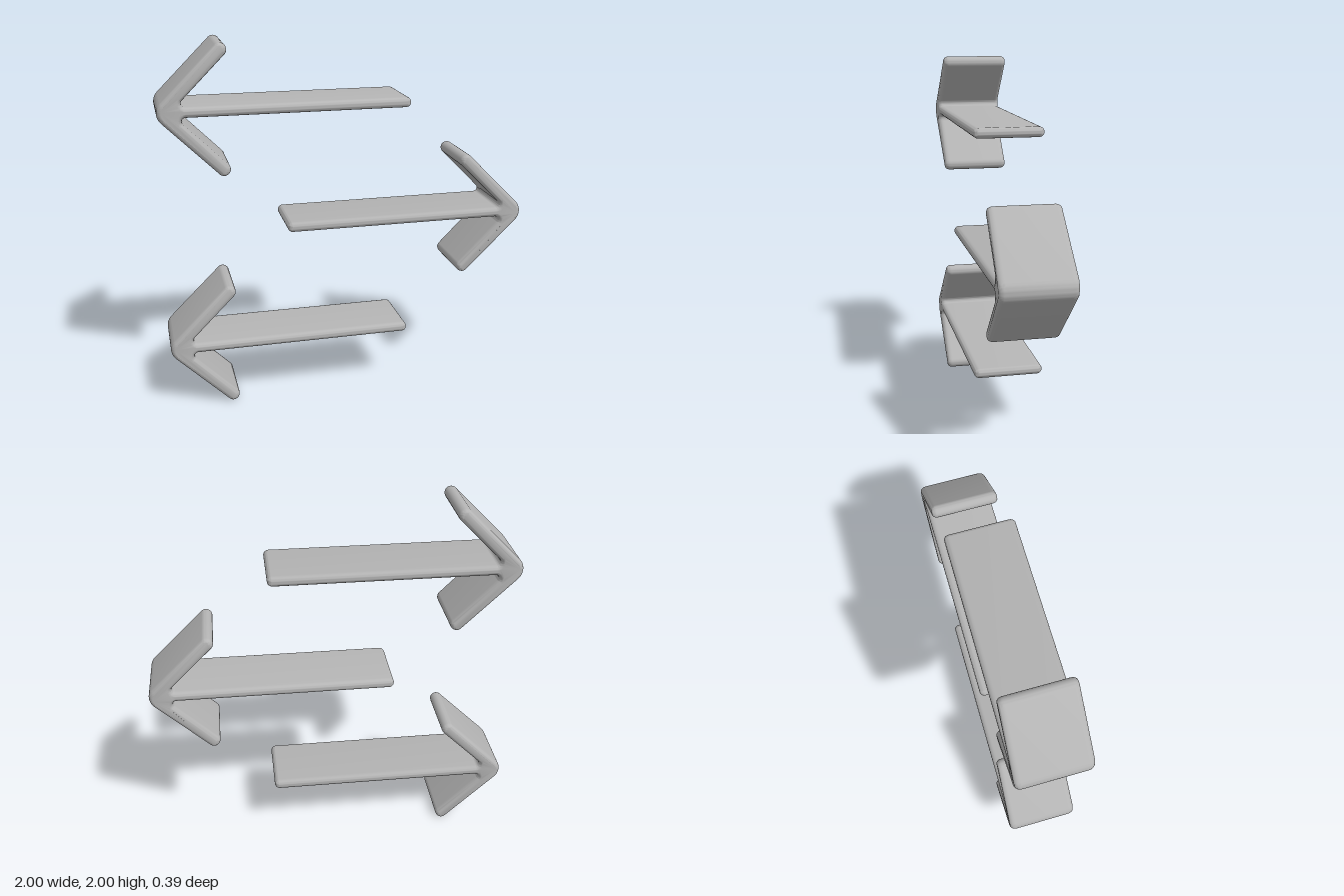
import * as THREE from 'three';
import { toCreasedNormals } from 'three/addons/utils/BufferGeometryUtils.js';

const BEVEL = 0.022;       // rounding in the outline plane
const BEVEL_Z = 0.03;      // rounding along the depth
const HALF_DEPTH = 0.188;

// Outline of an arrow pointing to -x, inset by the bevel that swells it again
function arrowOutline() {
  const P = Math.PI, S = Math.SQRT2;
  const shaft = 0.0275 - BEVEL;      // shaft half thickness
  const barb = 0.035 - BEVEL;        // barb half thickness
  const tip = 0.0725 - BEVEL;        // nose radius
  const fillet = 0.02 + BEVEL;       // radius where barbs meet shaft
  const fy = shaft + fillet;
  const fx = -0.98 + barb * S + fy + fillet * S;
  const s = new THREE.Shape();
  s.absarc(0.3125, 0, shaft, -P / 2, P / 2, false);              // shaft end
  s.absarc(fx, fy, fillet, -P / 2, -P * 1.25, true);             // upper fillet
  s.absarc(-0.67, 0.31, barb, -P / 4, P * 0.75, false);          // upper barb end
  s.absarc(-0.9275, 0, tip, P * 0.75, P * 1.25, false);          // nose
  s.absarc(-0.67, -0.31, barb, -P * 0.75, P / 4, false);         // lower barb end
  s.absarc(fx, -fy, fillet, P * 1.25, P / 2, true);              // lower fillet
  s.closePath();
  return s;
}

function arrowGeometry() {
  const depth = 2 * (HALF_DEPTH - BEVEL_Z);
  const geo = new THREE.ExtrudeGeometry(arrowOutline(), {
    depth, curveSegments: 8,
    bevelEnabled: true, bevelSize: BEVEL, bevelThickness: BEVEL_Z, bevelSegments: 6,
  });
  geo.translate(0, 0, -depth / 2);
  // Slight flare in depth around the nose
  const p = geo.attributes.position;
  for (let i = 0; i < p.count; i++) {
    const d = (p.getX(i) + 0.94) / 0.06;
    p.setZ(i, p.getZ(i) * (1 + 0.05 * Math.exp(-d * d)));
  }
  return toCreasedNormals(geo, 0.9);
}

export function createModel() {
  const group = new THREE.Group();
  group.name = 'arrows';
  const grey = new THREE.MeshStandardMaterial({ color: 0xb4b4b4 });
  grey.name = 'grey';
  const geo = arrowGeometry();

  // Three stacked arrows, the middle one turned the other way
  [['lowerArrow', 0.345, 0], ['middleArrow', 1, Math.PI], ['upperArrow', 1.655, 0]]
    .forEach(([name, y, turn]) => {
      const arrow = new THREE.Mesh(geo, grey);
      arrow.name = name;
      arrow.position.y = y;
      arrow.rotation.z = turn;
      group.add(arrow);
    });
  return group;
}
